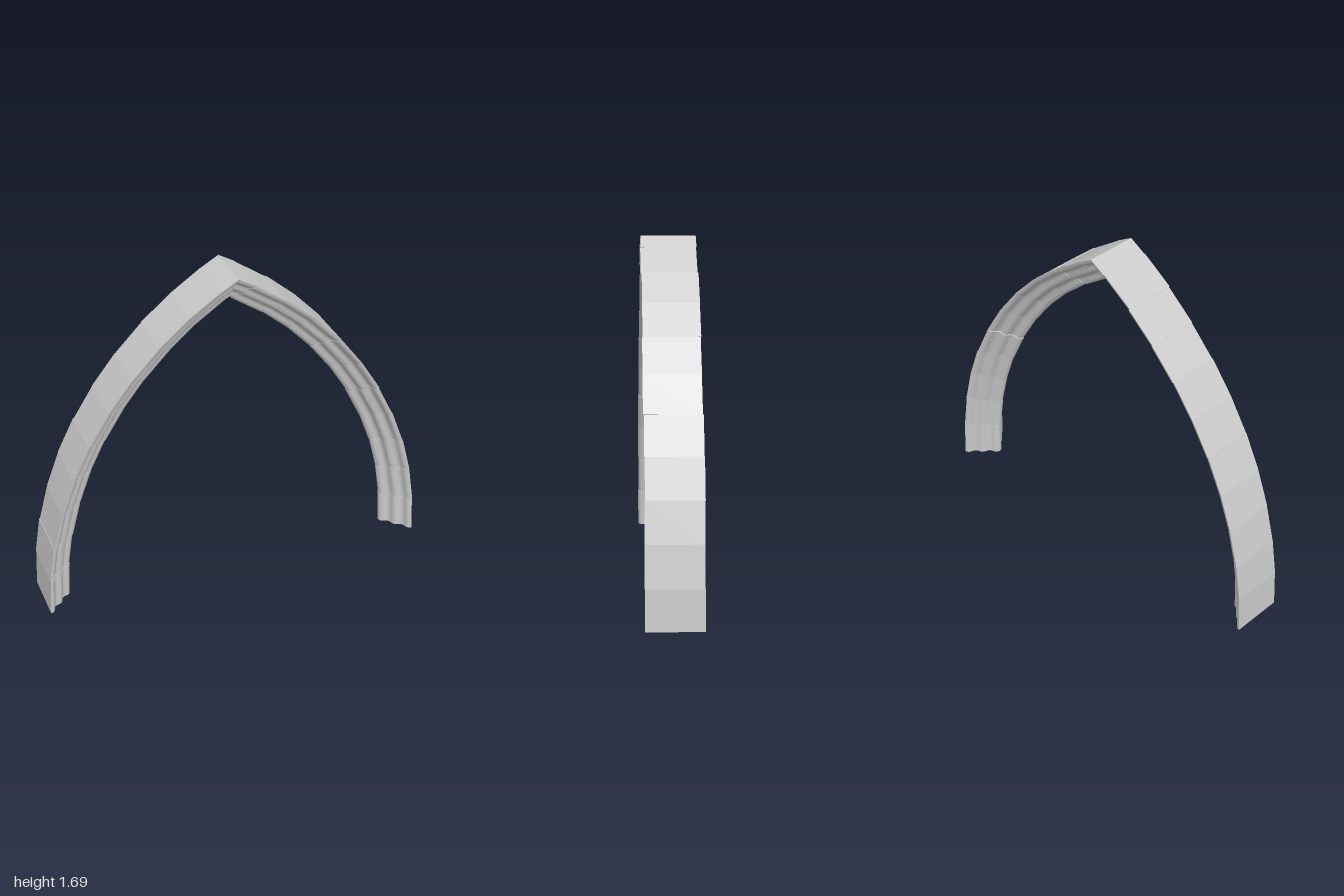
import * as THREE from 'three';
import { toCreasedNormals } from 'three/addons/utils/BufferGeometryUtils.js';

const RADIUS = 1.928;              // outer radius of each arc
const CENTRE = 1 - RADIUS;         // arc centre lies beyond the opposite side
const HALF = 0.135;                // half width of the back, also the section depth
const STEP = THREE.MathUtils.degToRad(5.83);
const BLOCKS = 11;                 // the last one is cut by the mitre at the apex

// Triangular rib section: flat back, three rolls and two hollows on each side
function ribSection() {
  const side = [];
  const n = 20;
  for (let i = 0; i <= n; i++) {
    const s = i / n;
    const bulge = 0.007 * Math.sin(5 * Math.PI * s);
    side.push(new THREE.Vector2(-HALF * s - bulge * 0.7, HALF * (1 - s) + bulge * 0.7));
  }
  const mirrored = side.slice(0, -1).reverse().map((p) => new THREE.Vector2(p.x, -p.y));
  return new THREE.Shape([...side, ...mirrored]);
}

// Small seeded generator for slightly uneven masonry
function seeded(seed) {
  return () => {
    seed = (seed * 16807) % 2147483647;
    return seed / 2147483647 - 0.5;
  };
}

// One straight block between two angles of the arc
function blockGeometry(section, index, radialShift, zShift) {
  const geometry = new THREE.ExtrudeGeometry(section, { depth: 1, steps: 1, bevelEnabled: false });
  const p = geometry.attributes.position;
  for (let i = 0; i < p.count; i++) {
    const r = RADIUS + p.getX(i) + radialShift;
    const atEnd = p.getZ(i) > 0.5;
    let angle = (index + (atEnd ? 1 : 0)) * STEP;
    if (atEnd && index === BLOCKS - 1) angle = Math.acos(-CENTRE / r); // mitre at x = 0
    p.setXYZ(i, CENTRE + r * Math.cos(angle), r * Math.sin(angle), -p.getY(i) + zShift);
  }
  return toCreasedNormals(geometry, 0.7);
}

export function createModel() {
  const arch = new THREE.Group();
  arch.name = 'pointedArchRib';
  const material = new THREE.MeshStandardMaterial({ color: 0xcccccc });
  const section = ribSection();

  // Two arms, the second turned half way round
  ['leftArm', 'rightArm'].forEach((name, k) => {
    const arm = new THREE.Group();
    arm.name = name;
    arm.rotation.y = k * Math.PI;
    const jitter = seeded(4711 + k * 977);
    for (let i = 0; i < BLOCKS; i++) {
      const loose = i > 0 && i < BLOCKS - 1 ? 0.006 : 0;
      const block = new THREE.Mesh(
        blockGeometry(section, i, jitter() * loose, jitter() * loose), material);
      block.name = i === BLOCKS - 1 ? 'apexBlock' : 'archBlock' + (i + 1);
      arm.add(block);
    }
    arch.add(arm);
  });
  return arch;
}
